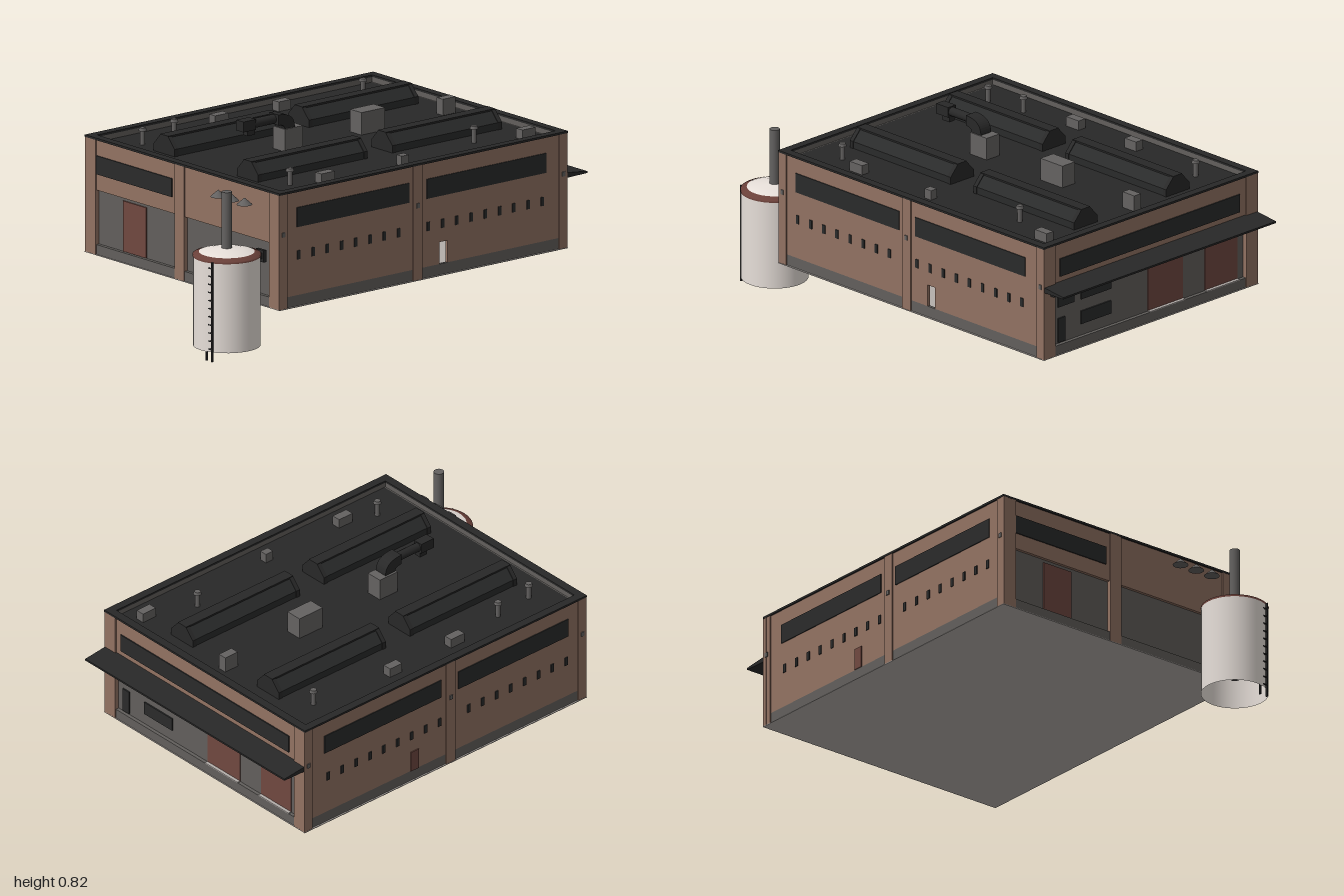
import * as THREE from 'three';

export function createModel() {
  const root = new THREE.Group();
  const mat = (name, color, side = THREE.FrontSide) => {
    const m = new THREE.MeshStandardMaterial({ color, side });
    m.name = name;
    return m;
  };
  const brick = mat('brick', 0x927262);
  const concrete = mat('concrete', 0x625f5c);
  const paleFloor = mat('paleFloor', 0xb4aeaa);
  const roofing = mat('roofing', 0x282828);
  const glass = mat('darkGlass', 0x2a2b2b);
  const doorRed = mat('doorRed', 0x704840);
  const tankWhite = mat('tankWhite', 0xeae2dc, THREE.DoubleSide);
  const steel = mat('steel', 0x646261);
  const rimRed = mat('rimRed', 0x6a4039);

  const add = (name, geo, m, x = 0, y = 0, z = 0, parent = root) => {
    const mesh = new THREE.Mesh(geo, m);
    mesh.name = name;
    mesh.position.set(x, y, z);
    parent.add(mesh);
    return mesh;
  };
  // Box given by its limits on each axis
  const box = (name, m, x0, x1, y0, y1, z0, z1) => add(name,
    new THREE.BoxGeometry(x1 - x0, y1 - y0, z1 - z0), m, (x0 + x1) / 2, (y0 + y1) / 2, (z0 + z1) / 2);
  const cyl = (name, m, r0, r1, y0, y1, x, z, n = 12) => add(name,
    new THREE.CylinderGeometry(r1, r0, y1 - y0, n), m, x, (y0 + y1) / 2, z);

  // Floor plate, end wall cores and sunken roof deck around a hollow hall
  const base = 0.188, deck = 0.66;
  box('floorPlate', paleFloor, -0.69, 0.89, base - 0.003, base, -0.63, 0.63);
  for (const x of [-0.67, 0.85]) box('endWallCore', concrete, x, x + 0.02, base, deck, -0.61, 0.61);
  box('roofDeck', roofing, -0.67, 0.87, deck - 0.01, deck, -0.61, 0.61);

  // Long walls: brick skin, plinth, pillars and windows, mirrored front to back
  for (const s of [1, -1]) {
    const wall = (name, m, x0, x1, y0, y1, d0, d1) =>
      box(name, m, x0, x1, y0, y1, Math.min(s * d0, s * d1), Math.max(s * d0, s * d1));
    if (s > 0) {
      // Front skin leaves an open doorway
      wall('longWall', brick, -0.68, 0.192, 0.235, 0.683, 0.61, 0.623);
      wall('longWall', brick, 0.235, 0.88, 0.235, 0.683, 0.61, 0.623);
      wall('doorLintel', brick, 0.192, 0.235, 0.33, 0.683, 0.61, 0.623);
    } else {
      wall('longWall', brick, -0.68, 0.88, 0.235, 0.683, 0.61, 0.623);
      wall('sideDoor', doorRed, 0.248, 0.292, 0.235, 0.329, 0.62, 0.627);
    }
    wall('plinth', concrete, -0.68, 0.88, base, 0.235, 0.61, 0.623);
    wall('parapetLining', concrete, -0.67, 0.87, deck - 0.01, 0.683, 0.595, 0.61);
    wall('parapetCap', roofing, -0.69, 0.89, 0.683, 0.692, 0.593, 0.63);
    for (const [x0, x1] of [[-0.69, -0.645], [0.045, 0.095], [0.845, 0.89]]) {
      wall('pillar', brick, x0, x1, base, 0.683, 0.605, 0.628);
      wall('wallLamp', steel, (x0 + x1) / 2 - 0.008, (x0 + x1) / 2 + 0.008, 0.5, 0.52, 0.625, 0.632);
    }
    for (const [x0, x1, count] of [[-0.59, 0.025, 8], [0.12, 0.775, 9]]) {
      wall('stripWindow', glass, x0, x1, 0.53, 0.615, 0.62, 0.627);
      for (let i = 0; i < count; i++) {
        const x = x0 + 0.01 + i * 0.078;
        wall('slitWindow', glass, x - 0.008, x + 0.008, 0.39, 0.428, 0.62, 0.627);
      }
    }
  }

  // End walls: brick band above recessed concrete, corner pillars
  for (const [face, s, bandY] of [[0.87, 1, 0.5], [-0.67, -1, 0.465]]) {
    const end = (name, m, z0, z1, y0, y1, d0, d1) => {
      const a = face + s * d0, b = face + s * d1;
      return box(name, m, Math.min(a, b), Math.max(a, b), y0, y1, z0, z1);
    };
    end('endBand', brick, -0.62, 0.62, bandY, 0.683, 0, 0.013);
    end('endPlinth', concrete, -0.56, 0.56, base, 0.23, 0, 0.016);
    end('parapetLining', concrete, -0.61, 0.61, deck - 0.01, 0.683, -0.015, 0);
    end('parapetCap', roofing, -0.63, 0.63, 0.683, 0.692, -0.017, 0.02);
    for (const z of [-0.595, 0.595])
      end('cornerPillar', brick, z - 0.034, z + 0.034, base, 0.683, 0, 0.0195);
    if (s > 0) {
      end('endStripWindow', glass, -0.525, 0.53, 0.535, 0.615, 0.012, 0.018);
      for (const [z0, z1, y0, y1] of [[0.435, 0.53, 0.393, 0.45], [0.22, 0.395, 0.393, 0.45],
        [0.22, 0.395, 0.282, 0.34], [0.49, 0.53, 0.235, 0.343]])
        end('officeWindow', glass, z0, z1, y0, y1, 0, 0.006);
      for (const [z0, z1] of [[-0.205, 0], [-0.525, -0.335]]) {
        end('loadingDoor', doorRed, z0, z1, 0.232, 0.463, 0, 0.003);
        end('doorSill', paleFloor, z0, z1, 0.23, 0.234, 0.003, 0.018);
      }
    } else {
      end('middlePillar', brick, -0.05, 0.01, base, 0.683, 0, 0.0195);
      end('endStripWindow', glass, -0.56, -0.07, 0.535, 0.615, 0.012, 0.018);
      end('gateDoor', doorRed, -0.4, -0.25, 0.232, 0.45, 0, 0.006);
    }
  }

  // Sloping canopy with brackets
  const canopy = new THREE.Shape([[0.87, 0.488], [1.0, 0.49], [1.0, 0.498], [0.87, 0.513]]
    .map(p => new THREE.Vector2(...p)));
  add('canopy', new THREE.ExtrudeGeometry(canopy, { depth: 1.25, bevelEnabled: false }), roofing, 0, 0, -0.625);
  for (const z of [-0.575, 0.575]) box('canopyBracket', roofing, 0.88, 0.91, 0.463, 0.49, z - 0.014, z + 0.014);

  // Four trapezoid skylights on low curbs, with end frames and ridge
  const sky = new THREE.Shape([[-0.068, 0], [0.068, 0], [0.068, 0.032], [0.026, 0.078], [-0.026, 0.078], [-0.068, 0.032]]
    .map(p => new THREE.Vector2(...p)));
  const prism = (depth) => new THREE.ExtrudeGeometry(sky, { depth, bevelEnabled: false }).rotateY(Math.PI / 2);
  for (const x of [-0.56, 0.175]) for (const z of [-0.27, 0.27]) {
    const g = new THREE.Group();
    g.name = 'skylight';
    g.position.set(x, deck, z);
    root.add(g);
    add('skylightGlass', prism(0.56).scale(1, 0.96, 0.96), glass, 0.02, 0, 0, g);
    for (const ex of [0, 0.58]) add('skylightEnd', prism(0.02), roofing, ex, 0, 0, g);
    add('skylightRidge', new THREE.BoxGeometry(0.6, 0.008, 0.052), roofing, 0.3, 0.077, 0, g);
  }

  // Rooftop units: x, z, width, depth, top
  for (const [x, z, w, d, top] of [[-0.105, -0.005, 0.1, 0.075, 0.757], [0.33, -0.005, 0.13, 0.075, 0.757],
    [0.765, -0.01, 0.07, 0.04, 0.73], [-0.065, -0.5, 0.075, 0.04, 0.702], [0.28, -0.5, 0.068, 0.04, 0.702],
    [-0.335, 0.505, 0.075, 0.04, 0.702], [0.09, 0.505, 0.04, 0.035, 0.702], [0.765, 0.505, 0.072, 0.04, 0.702]])
    box('roofUnit', steel, x - w / 2, x + w / 2, deck, top, z - d / 2, z + d / 2);

  // Capped vent pipes
  for (const [x, z] of [[-0.53, -0.445], [-0.34, -0.465], [0.69, -0.46], [-0.485, 0.455], [0.545, 0.43]]) {
    cyl('ventPipe', steel, 0.011, 0.011, deck, 0.725, x, z, 8);
    cyl('ventCap', steel, 0.018, 0.014, 0.72, 0.733, x, z, 8);
  }

  // Square bent exhaust duct, thin run and fan end
  const elbow = new THREE.Shape();
  elbow.moveTo(-0.185, 0.823);
  elbow.quadraticCurveTo(-0.095, 0.823, -0.095, 0.755);
  elbow.lineTo(-0.15, 0.755);
  elbow.quadraticCurveTo(-0.15, 0.778, -0.185, 0.778);
  add('ductElbow', new THREE.ExtrudeGeometry(elbow, { depth: 0.06, bevelEnabled: false }), roofing, 0, 0, -0.033);
  const run = add('ductRun', new THREE.CylinderGeometry(0.02, 0.02, 0.15, 10), roofing, -0.24, 0.8, -0.005);
  run.rotation.z = Math.PI / 2;
  box('ductFan', roofing, -0.37, -0.3, 0.778, 0.823, -0.028, 0.018);
  box('fanFoot', roofing, -0.34, -0.3, 0.755, 0.78, -0.02, 0.01);

  // Storage tank: open shell, rim, dome and flue
  const tx = -0.857, tz = 0.486;
  add('tankShell', new THREE.CylinderGeometry(0.142, 0.142, 0.39, 40, 1, true), tankWhite, tx, 0.235, tz);
  const lathe = (pts) => new THREE.LatheGeometry(pts.map(p => new THREE.Vector2(...p)), 40);
  add('tankRim', lathe([[0.143, 0.425], [0.143, 0.434], [0.117, 0.444]]), rimRed, tx, 0, tz);
  add('tankDome', lathe([[0.14, 0.43], [0.117, 0.443], [0.07, 0.455], [0, 0.462]]), tankWhite, tx, 0, tz);
  cyl('tankFlue', steel, 0.022, 0.022, 0.11, 0.702, tx, tz, 16);

  // Tank ladder, set against the shell
  for (const z of [0.513, 0.55]) box('ladderRail', roofing, -0.995, -0.986, 0, 0.43, z - 0.003, z + 0.003);
  for (let y = 0.05; y < 0.43; y += 0.035) box('ladderRung', roofing, -0.993, -0.987, y, y + 0.005, 0.513, 0.55);

  // Pipe from tank to wall
  box('tankPipe', roofing, -0.735, -0.68, 0.395, 0.42, 0.505, 0.535);
  box('pipeFlange', roofing, -0.705, -0.69, 0.38, 0.432, 0.495, 0.545);

  // Cone cowls beside the end wall
  for (const z of [0.29, 0.375, 0.46]) {
    add('coneCowl', new THREE.ConeGeometry(0.033, 0.03, 20), steel, -0.738, 0.635, z);
  }
  return root;
}
